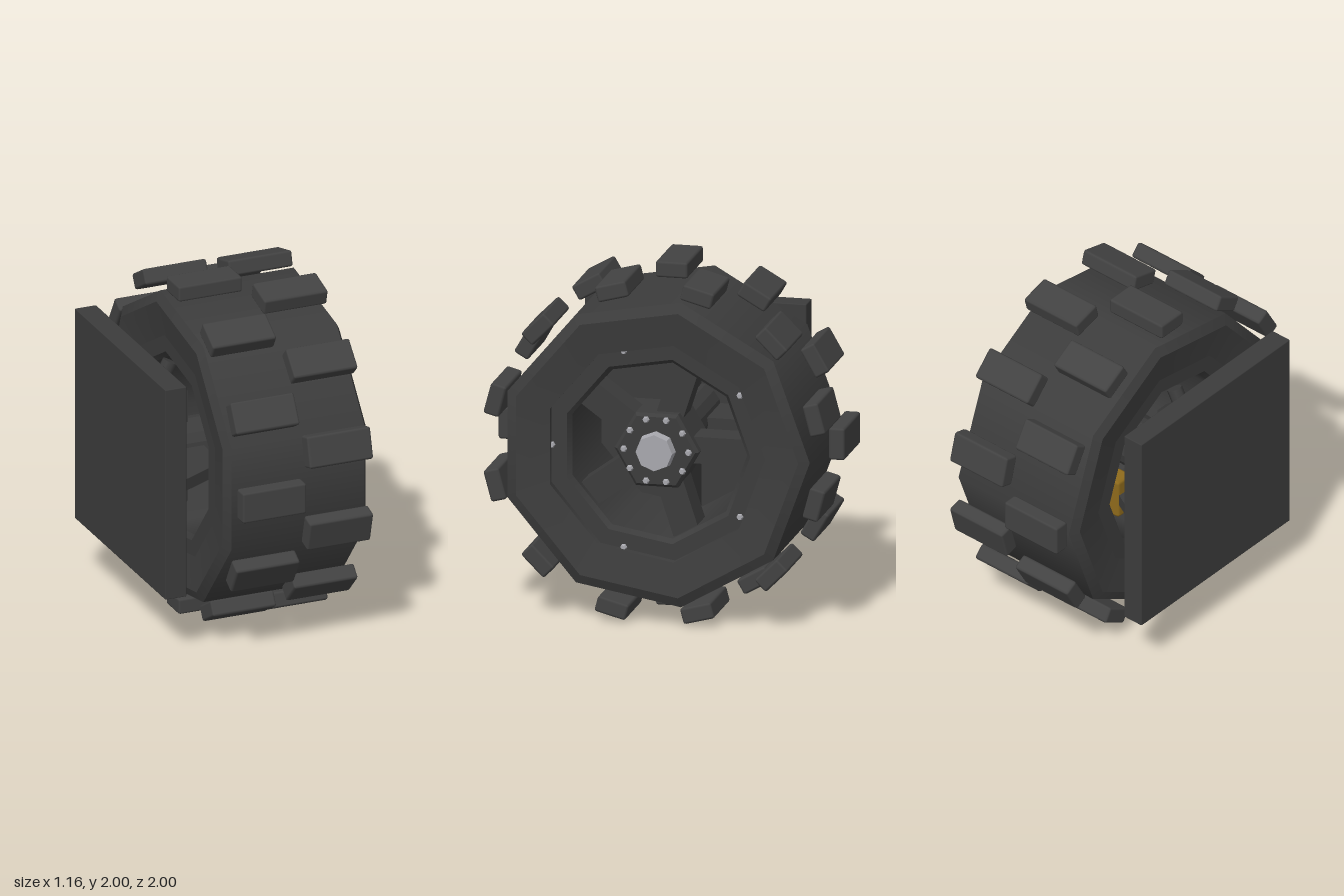
import * as THREE from 'three';
import { RoundedBoxGeometry } from 'three/addons/geometries/RoundedBoxGeometry.js';

const mat = (name, color, extra = {}) => Object.assign(new THREE.MeshStandardMaterial({ color, ...extra }), { name });

export function createModel() {
  const rubber = mat('rubber', 0x3d3d3d);
  const lugRubber = mat('lugRubber', 0x424242);
  const darkMetal = mat('darkMetal', 0x3c3c3c);
  const steel = mat('steel', 0xa8a8ae);
  const gold = mat('gold', 0x8f6b1c);

  const model = new THREE.Group();
  model.name = 'wheelAssembly';
  const add = (parent, name, geometry, material, x = 0, y = 0, z = 0) => {
    const mesh = new THREE.Mesh(geometry, material);
    mesh.name = name;
    mesh.position.set(x, y, z);
    parent.add(mesh);
    return mesh;
  };

  // Everything turns about an x axis at the height of the hub
  const wheel = new THREE.Group();
  wheel.name = 'wheel';
  wheel.position.y = 1;
  model.add(wheel);

  // Nine-sided ring from [x, radius] points, crisp between profile segments
  const ring = (name, profile, material) => {
    const group = new THREE.Group();
    group.name = name;
    for (let i = 0; i < profile.length - 1; i++) {
      const pts = [profile[i], profile[i + 1]].map(([x, r]) => new THREE.Vector2(r, x));
      add(group, name + 'Face', new THREE.LatheGeometry(pts, 9, Math.PI).rotateZ(-Math.PI / 2), material);
    }
    wheel.add(group);
  };
  // Cylinder lying along x between two x positions
  const axial = (parent, name, r0, r1, x0, x1, sides, material, y = 0, z = 0) => {
    const g = new THREE.CylinderGeometry(r1, r0, x1 - x0, sides).rotateZ(-Math.PI / 2).toNonIndexed();
    g.computeVertexNormals();
    return add(parent, name, g, material, (x0 + x1) / 2, y, z);
  };

  // Tyre and rim
  ring('tyre', [[-0.26, 0.64], [-0.295, 0.84], [-0.265, 0.9], [0.55, 0.9], [0.58, 0.84], [0.545, 0.64], [0.5, 0.64]], rubber);
  ring('rim', [[0.5, 0.64], [0.5, 0.545], [0.47, 0.52], [-0.23, 0.52], [-0.26, 0.545], [-0.26, 0.64]], darkMetal);

  // Two staggered rows of tread lugs
  const lug = new RoundedBoxGeometry(0.39, 0.093, 0.185, 1, 0.014);
  for (let i = 0; i < 24; i++) {
    const t = i * Math.PI / 12;
    const x = i % 2 ? 0.35 : -0.065;
    const m = add(wheel, 'treadLug', lug, lugRubber, x, 0.953 * Math.cos(t), 0.953 * Math.sin(t));
    m.rotation.x = t;
  }

  // Spokes, the first one pointing to the back
  for (let i = 0; i < 5; i++) {
    const pivot = new THREE.Group();
    pivot.name = 'spoke';
    pivot.rotation.x = i * Math.PI * 2 / 5;
    add(pivot, 'spokeBar', new THREE.BoxGeometry(0.18, 0.155, 0.36), darkMetal, 0.34, 0, -0.335);
    wheel.add(pivot);
  }

  // Hub with a chamfered face and a bright cap
  axial(wheel, 'hub', 0.245, 0.245, 0.18, 0.475, 6, darkMetal);
  axial(wheel, 'hubFace', 0.245, 0.225, 0.475, 0.495, 6, darkMetal);
  axial(wheel, 'hubCap', 0.115, 0.105, 0.49, 0.55, 8, steel);

  // Circles of bolts on hub and rim
  const bolts = (name, count, radius, x) => {
    for (let i = 0; i < count; i++) {
      const t = i * Math.PI * 2 / count;
      axial(wheel, name, 0.021, 0.014, x, x + 0.02, 6, steel, radius * Math.sin(t), radius * Math.cos(t));
    }
  };
  bolts('hubBolt', 10, 0.187, 0.494);
  bolts('rimBolt', 5, 0.6, 0.498);

  // Mounting plate and axle
  const mount = new THREE.Group();
  mount.name = 'mount';
  mount.position.y = 1;
  model.add(mount);
  add(mount, 'mountPlate', new RoundedBoxGeometry(0.13, 1.28, 1.28, 1, 0.006), darkMetal, -0.515);
  axial(mount, 'axle', 0.15, 0.15, -0.46, 0.2, 16, darkMetal);

  // Tapered gussets in a cross between plate and axle
  const gusset = (r0, r1, x1) => {
    const s = new THREE.Shape([[-0.46, 0], [x1, 0], [x1, r1], [-0.46, r0]].map(p => new THREE.Vector2(...p)));
    return new THREE.ExtrudeGeometry(s, { depth: 0.07, bevelEnabled: false }).translate(0, 0, -0.035);
  };
  const tall = gusset(0.575, 0.335, -0.18);
  const wide = gusset(0.575, 0.4, -0.13);
  for (let i = 0; i < 4; i++) {
    add(mount, 'gusset', i % 2 ? wide : tall, darkMetal).rotation.x = i * Math.PI / 2;
  }

  // Slanted strut above the axle
  const strut = add(mount, 'strut', new THREE.CylinderGeometry(0.045, 0.045, 0.3, 8), darkMetal, -0.345, 0.385, 0);
  strut.rotation.z = -0.49;

  // Brake caliper behind the rear spoke
  add(mount, 'caliper', new RoundedBoxGeometry(0.15, 0.25, 0.12, 1, 0.02), gold, -0.2, 0, -0.425);

  return model;
}
